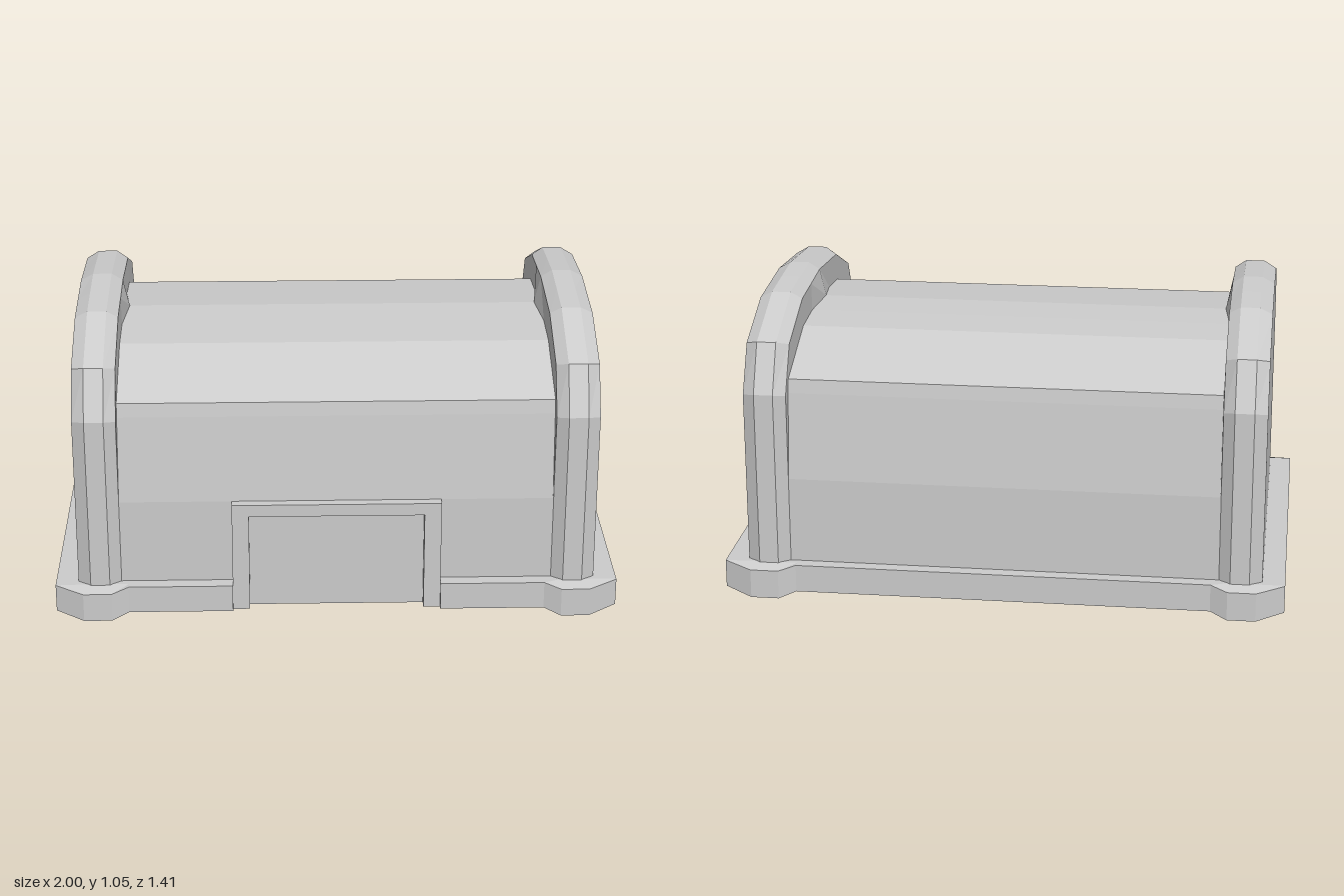
import * as THREE from 'three';

const material = new THREE.MeshStandardMaterial({ color: 0xcccccc, flatShading: true });

// Skin closed rings of [x, y, z], ordered by rising x, and cap both ends
function loft(name, rings) {
  const pos = [];
  const tri = (a, b, c) => pos.push(...a, ...b, ...c);
  const n = rings[0].length;
  for (let i = 0; i < rings.length - 1; i++) {
    for (let j = 0; j < n; j++) {
      const k = (j + 1) % n;
      const a = rings[i][j], b = rings[i + 1][j], c = rings[i + 1][k], d = rings[i][k];
      tri(a, b, c);
      tri(a, c, d);
    }
  }
  const first = rings[0], last = rings[rings.length - 1];
  for (let j = 1; j < n - 1; j++) {
    tri(first[0], first[j], first[j + 1]);
    tri(last[0], last[j + 1], last[j]);
  }
  const geometry = new THREE.BufferGeometry();
  geometry.setAttribute('position', new THREE.Float32BufferAttribute(pos, 3));
  geometry.computeVertexNormals();
  const mesh = new THREE.Mesh(geometry, material);
  mesh.name = name;
  return mesh;
}

// Half arches as [z, y], from the front foot to the crown
const outer = [[0.66, 0.1], [0.66, 0.43], [0.66, 0.75], [0.58, 0.92], [0.32, 1.03], [0.16, 1.043], [0, 1.055]];
const inset = [[0.63, 0.1], [0.63, 0.43], [0.63, 0.74], [0.545, 0.905], [0.31, 1.005], [0.155, 1.017], [0, 1.03]];
const roof = [[0.63, 0.02], [0.63, 0.43], [0.595, 0.74], [0.587, 0.79], [0.315, 0.905], [0.157, 0.918], [0, 0.93]];

// Full arch ring at x; the crown point may sit at another x
function arch(half, x, crownX = x) {
  const front = half.map(([z, y]) => [z === 0 ? crownX : x, y, z]);
  const back = half.slice(0, -1).reverse().map(([z, y]) => [x, y, -z]);
  return [...front, ...back];
}

const mirrorRings = (rings) => rings.map((r) => r.map(([x, y, z]) => [-x, y, z])).reverse();

// Base cross-section at x
function baseRing(x, z, bottom, top, frontZ = z) {
  return [
    [x, bottom, frontZ], [x, top, frontZ], [x, 0.12, Math.min(frontZ, 0.655)],
    [x, 0.12, -0.655], [x, top, -z], [x, bottom, -z],
  ];
}

export function createModel() {
  const group = new THREE.Group();
  group.name = 'building';

  // Base with swollen corners and a gap for the doorway
  const half = [
    baseRing(0.37, 0.68, 0.02, 0.12, 0.63),
    baseRing(0.37, 0.68, 0.02, 0.12),
    baseRing(0.74, 0.68, 0.02, 0.12),
    baseRing(0.8, 0.705, 0, 0.105),
    baseRing(0.9, 0.705, 0, 0.105),
    baseRing(1, 0.66, 0.02, 0.12),
  ];
  group.add(loft('base', [...mirrorRings(half), ...half]));

  // Walls and curved roof
  group.add(loft('hall', [arch(roof, -0.765), arch(roof, 0.765)]));

  // Thick bevelled end walls
  const end = [
    arch(roof.map(([z, y]) => [z, Math.max(y, 0.1)]), 0.765, 0.745),
    arch(inset, 0.767),
    arch(outer, 0.807),
    arch(outer, 0.875),
    arch(inset, 0.92),
  ];
  group.add(loft('leftEndWall', end));
  group.add(loft('rightEndWall', mirrorRings(end)));

  // Door frame
  const frame = new THREE.Shape([
    [-0.37, 0.02], [-0.31, 0.02], [-0.31, 0.385], [0.31, 0.385],
    [0.31, 0.02], [0.37, 0.02], [0.37, 0.43], [-0.37, 0.43],
  ].map(([x, y]) => new THREE.Vector2(x, y)));
  const frameGeometry = new THREE.ExtrudeGeometry(frame, { depth: 0.045, bevelEnabled: false });
  const doorFrame = new THREE.Mesh(frameGeometry, material);
  doorFrame.name = 'doorFrame';
  doorFrame.position.z = 0.62;
  group.add(doorFrame);

  return group;
}
